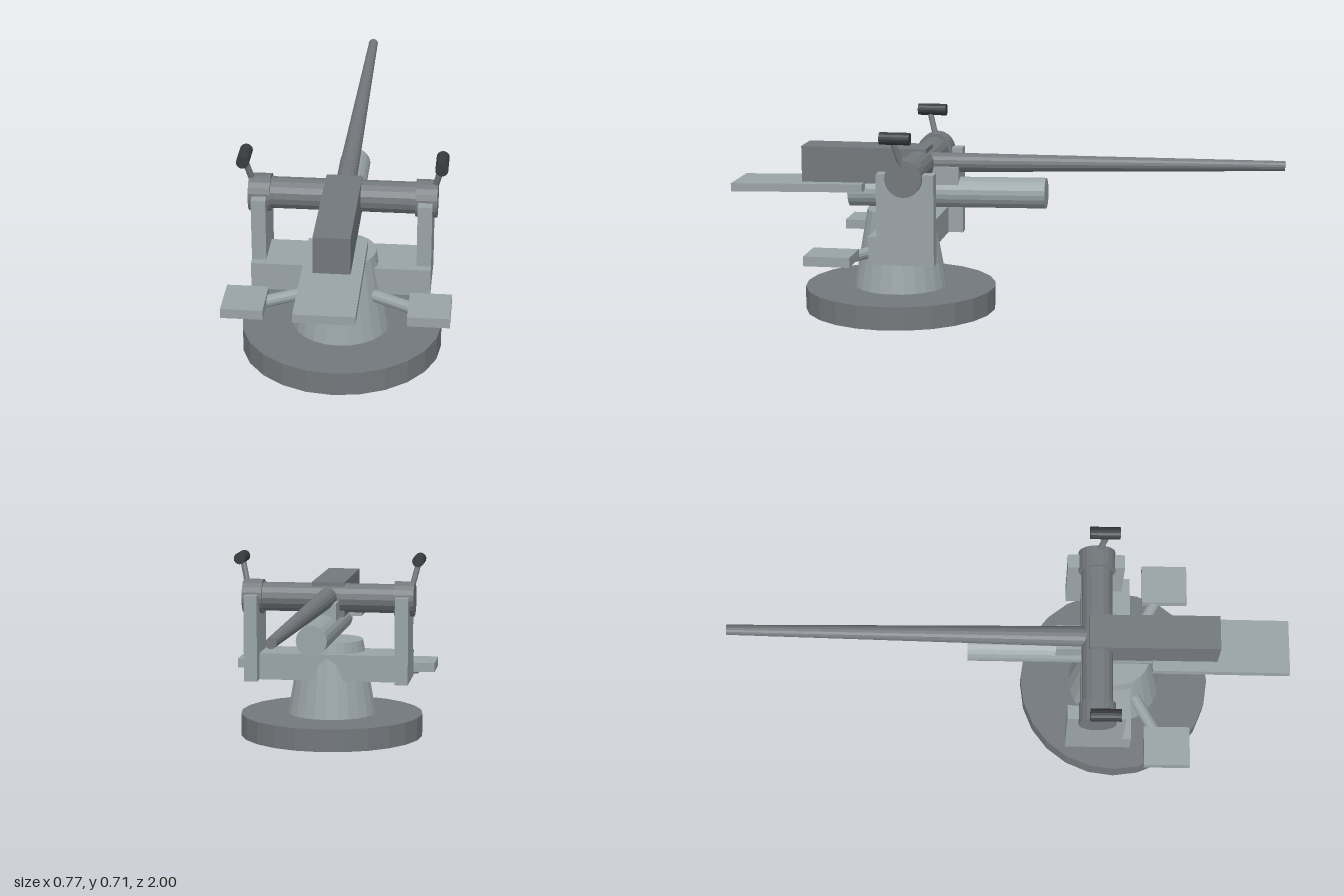
import * as THREE from 'three';

const paint = (color) => new THREE.MeshStandardMaterial({ color, flatShading: true });
const light = paint(0x99a3a6);
const dark = paint(0x73787c);
const black = paint(0x393b3d);

export function createModel() {
  const model = new THREE.Group();

  const add = (name, geometry, material) => {
    const mesh = new THREE.Mesh(geometry, material);
    mesh.name = name;
    model.add(mesh);
    return mesh;
  };

  // Box given by its lower and upper limits on each axis
  const box = (name, material, [x0, x1], [y0, y1], [z0, z1]) => {
    const mesh = add(name, new THREE.BoxGeometry(x1 - x0, y1 - y0, z1 - z0), material);
    mesh.position.set((x0 + x1) / 2, (y0 + y1) / 2, (z0 + z1) / 2);
    return mesh;
  };

  // Round bar between two points, optionally tapered
  const bar = (name, material, from, to, r0, r1 = r0, sides = 16) => {
    const a = new THREE.Vector3(...from);
    const b = new THREE.Vector3(...to);
    const dir = b.clone().sub(a);
    const mesh = add(name, new THREE.CylinderGeometry(r1, r0, dir.length(), sides), material);
    mesh.position.copy(a).add(b).multiplyScalar(0.5);
    mesh.quaternion.setFromUnitVectors(new THREE.Vector3(0, 1, 0), dir.normalize());
    return mesh;
  };

  // Base and pedestal
  bar('base', dark, [0, 0, 0.39], [0, 0.085, 0.39], 0.35, 0.35, 24);
  bar('pedestal', light, [0, 0.085, 0.39], [0, 0.37, 0.39], 0.17, 0.12, 24);

  // Yoke carrying the gun
  box('yokeBeam', light, [-0.31, 0.31], [0.228, 0.328], [0.26, 0.44]);
  bar('trunnion', dark, [-0.26, 0.54, 0.31], [0.26, 0.54, 0.31], 0.055);

  for (const s of [-1, 1]) {
    const side = s > 0 ? 'left' : 'right';
    const upright = box(side + 'Upright', light, [-0.025, 0.025], [0.228, 0.553], [0.205, 0.41]);
    upright.position.x = s * 0.285;
    bar(side + 'TrunnionCap', dark, [s * 0.25, 0.54, 0.31], [s * 0.325, 0.54, 0.31], 0.066, 0.066, 20);

    // Elevation handle
    bar(side + 'HandleRod', dark, [s * 0.308, 0.56, 0.31], [s * 0.338, 0.685, 0.345], 0.011, 0.011, 10);
    bar(side + 'HandleGrip', black, [s * 0.338, 0.685, 0.28], [s * 0.338, 0.685, 0.387], 0.022);

    // Foot platform on its strut
    bar(side + 'PlatformStrut', light, [s * 0.1, 0.233, 0.45], [s * 0.313, 0.233, 0.568], 0.021, 0.021, 12);
    const platform = box(side + 'Platform', light, [-0.072, 0.072], [0.232, 0.267], [0.49, 0.656]);
    platform.position.x = s * 0.315;
  }

  // Gun: breech, tapered barrel and cradle bracket
  box('breech', dark, [-0.062, 0.062], [0.47, 0.601], [0.28, 0.742]);
  bar('barrel', dark, [0, 0.544, 0.28], [0, 0.566, -1], 0.037, 0.018);
  box('cradleBracket', light, [-0.045, 0.045], [0.46, 0.535], [0.165, 0.31]);

  // Recoil cylinder with its rear rod
  bar('recoilCylinder', light, [0, 0.43, 0.575], [0, 0.442, -0.15], 0.056, 0.056, 20);
  bar('recoilRod', light, [0, 0.447, 0.69], [0, 0.47, 0.5], 0.021, 0.021, 12);

  // Rear loading tray, sloping gently down to the back
  const tray = box('loadingTray', light, [-0.1, 0.1], [0.438, 0.468], [0.51, 1]);
  tray.rotation.x = 0.021;

  return model;
}
